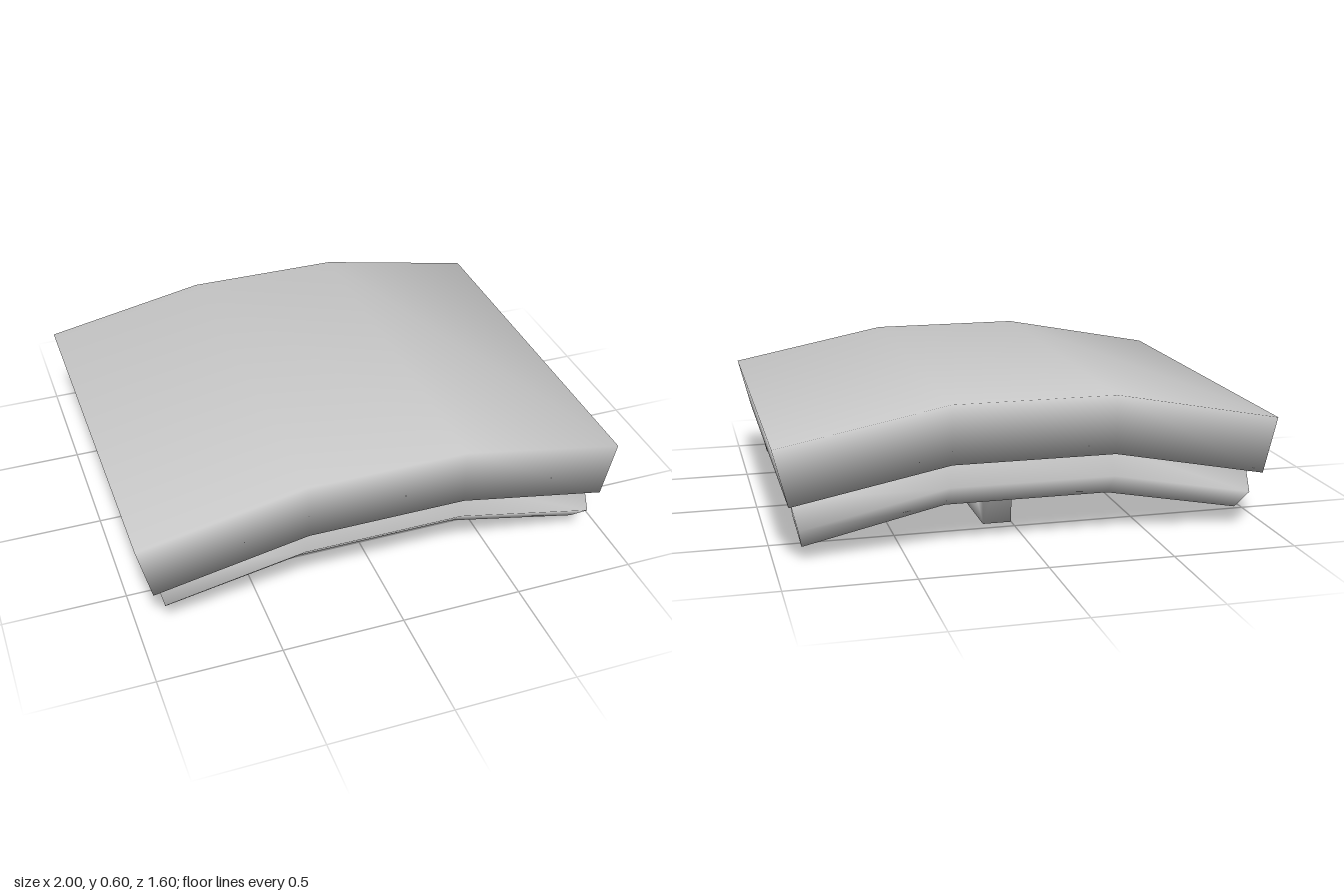
import * as THREE from 'three';

// Skin a run of four-cornered sections with shared, smooth corners and capped ends
function loft(name, rings, material) {
  const index = [];
  const quad = (a, b, c, d) => index.push(a, b, c, a, c, d);
  for (let i = 0; i < rings.length - 1; i++) {
    for (let k = 0; k < 4; k++) {
      const a = i * 4 + k, b = i * 4 + (k + 1) % 4;
      quad(a, b, b + 4, a + 4);
    }
  }
  const last = (rings.length - 1) * 4;
  quad(3, 2, 1, 0);
  quad(last, last + 1, last + 2, last + 3);

  const geometry = new THREE.BufferGeometry();
  geometry.setAttribute('position', new THREE.Float32BufferAttribute(rings.flat(2), 3));
  geometry.setIndex(index);
  geometry.computeVertexNormals();
  const mesh = new THREE.Mesh(geometry, material);
  mesh.name = name;
  return mesh;
}

export function createModel() {
  const group = new THREE.Group();
  group.name = 'curvedShield';
  const grey = new THREE.MeshStandardMaterial({ color: 0xcccccc });
  grey.name = 'plainGrey';

  // Thick plate bent in three panels: [top x, top y, bottom x, bottom y]
  const plate = [
    [-1, 0.47, -0.945, 0.245], [-0.325, 0.6, -0.325, 0.365],
    [0.325, 0.6, 0.325, 0.365], [1, 0.47, 0.945, 0.245],
  ].map(([tx, ty, bx, by]) => [[tx, ty, 0.8], [bx, by, 0.8], [bx, by, -0.8], [tx, ty, -0.8]]);
  group.add(loft('shieldPlate', plate, grey));

  // Diamond-section ribs following the underside near both edges
  const ribPath = [
    [-0.92, 0.252, -0.88, 0.073], [-0.33, 0.365, -0.33, 0.175],
    [0.33, 0.365, 0.33, 0.175], [0.93, 0.237, 0.89, 0.05],
  ];
  for (const [name, z] of [['frontRib', 0.687], ['backRib', -0.687]]) {
    const rings = ribPath.map(([tx, ty, bx, by]) => {
      const mx = (tx + bx) / 2, my = (ty + by) / 2;
      return [[tx, ty, z], [mx, my, z + 0.094], [bx, by, z], [mx, my, z - 0.094]];
    });
    group.add(loft(name, rings, grey));
  }

  // Squared U-shaped grip: [inner y, inner z, outer y, outer z]
  const handle = [
    [0.37, 0.345, 0.37, 0.43], [0.075, 0.345, 0, 0.43],
    [0.075, -0.355, 0, -0.447], [0.37, -0.355, 0.37, -0.447],
  ].map(([iy, iz, oy, oz]) => [[0.12, iy, iz], [0.12, oy, oz], [0, oy, oz], [0, iy, iz]]);
  group.add(loft('handle', handle, grey));

  return group;
}
